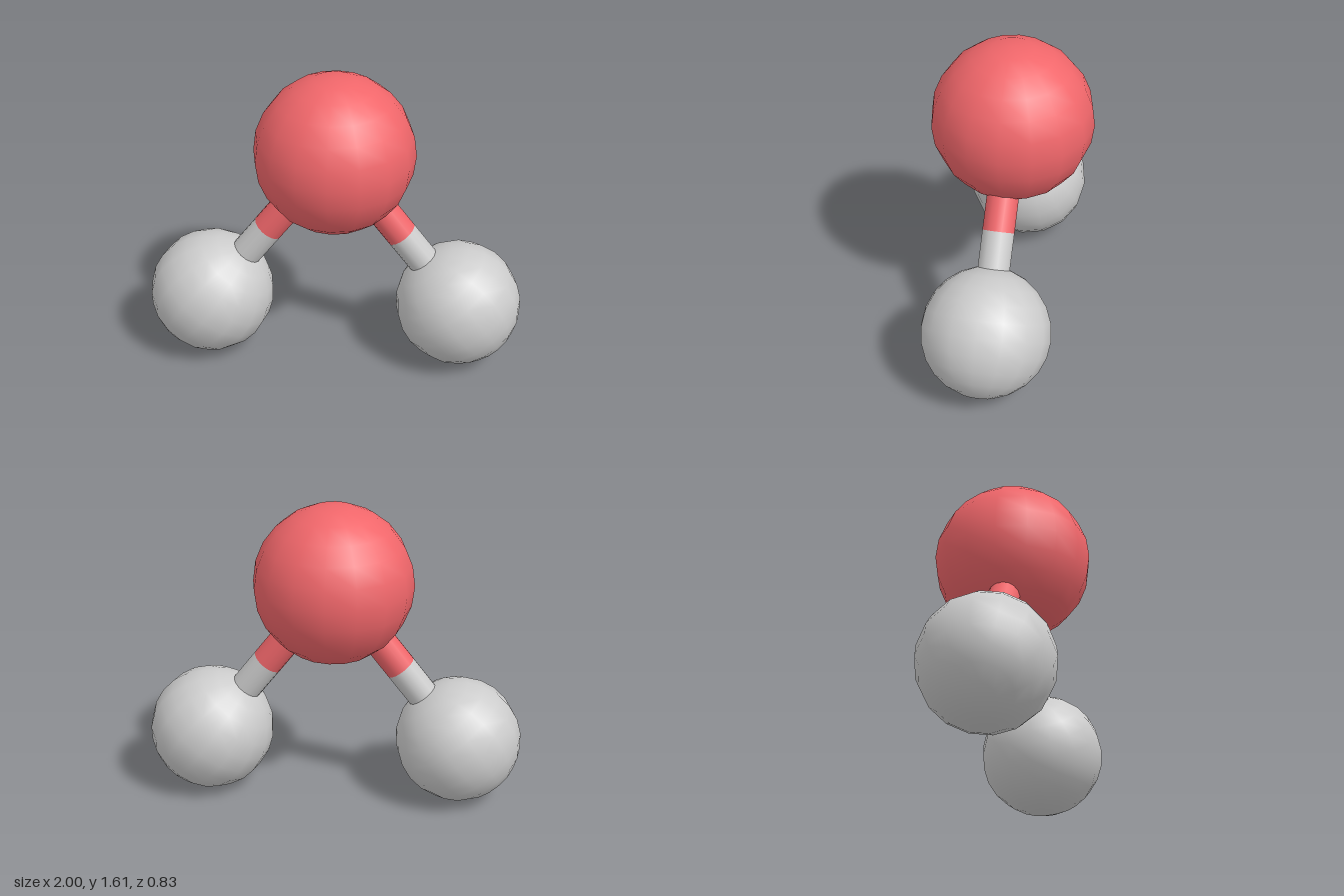
import * as THREE from 'three';

export function createModel() {
  const model = new THREE.Group();
  const red = new THREE.MeshStandardMaterial({ color: 0xf0666a });
  const grey = new THREE.MeshStandardMaterial({ color: 0xcccccc });

  function addBall(name, radius, center, material) {
    const ball = new THREE.Mesh(new THREE.SphereGeometry(radius, 16, 12), material);
    ball.name = name;
    ball.position.copy(center);
    model.add(ball);
    return ball;
  }

  // Cylinder running from point a to point b
  function addRod(name, a, b, material) {
    const dir = b.clone().sub(a);
    const rod = new THREE.Mesh(new THREE.CylinderGeometry(0.083, 0.083, dir.length(), 16), material);
    rod.name = name;
    rod.position.copy(a).lerp(b, 0.5);
    rod.quaternion.setFromUnitVectors(new THREE.Vector3(0, 1, 0), dir.normalize());
    model.add(rod);
  }

  // Large central ball
  const center = new THREE.Vector3(0, 1.198, 0);
  addBall('centralBall', 0.417, center, red);

  // Two smaller balls, each joined by a two-coloured rod
  for (const [side, s] of [['left', 1], ['right', -1]]) {
    const end = new THREE.Vector3(s * 0.667, 0.334, 0.022);
    const joint = center.clone().lerp(end, 0.53);
    const ball = addBall(side + 'Ball', 0.334, end, grey);
    // Poles lie along the rod
    ball.quaternion.setFromUnitVectors(new THREE.Vector3(0, 1, 0), center.clone().sub(end).normalize());
    addRod(side + 'RodInner', center, joint, red);
    addRod(side + 'RodOuter', joint, end, grey);
  }

  return model;
}
